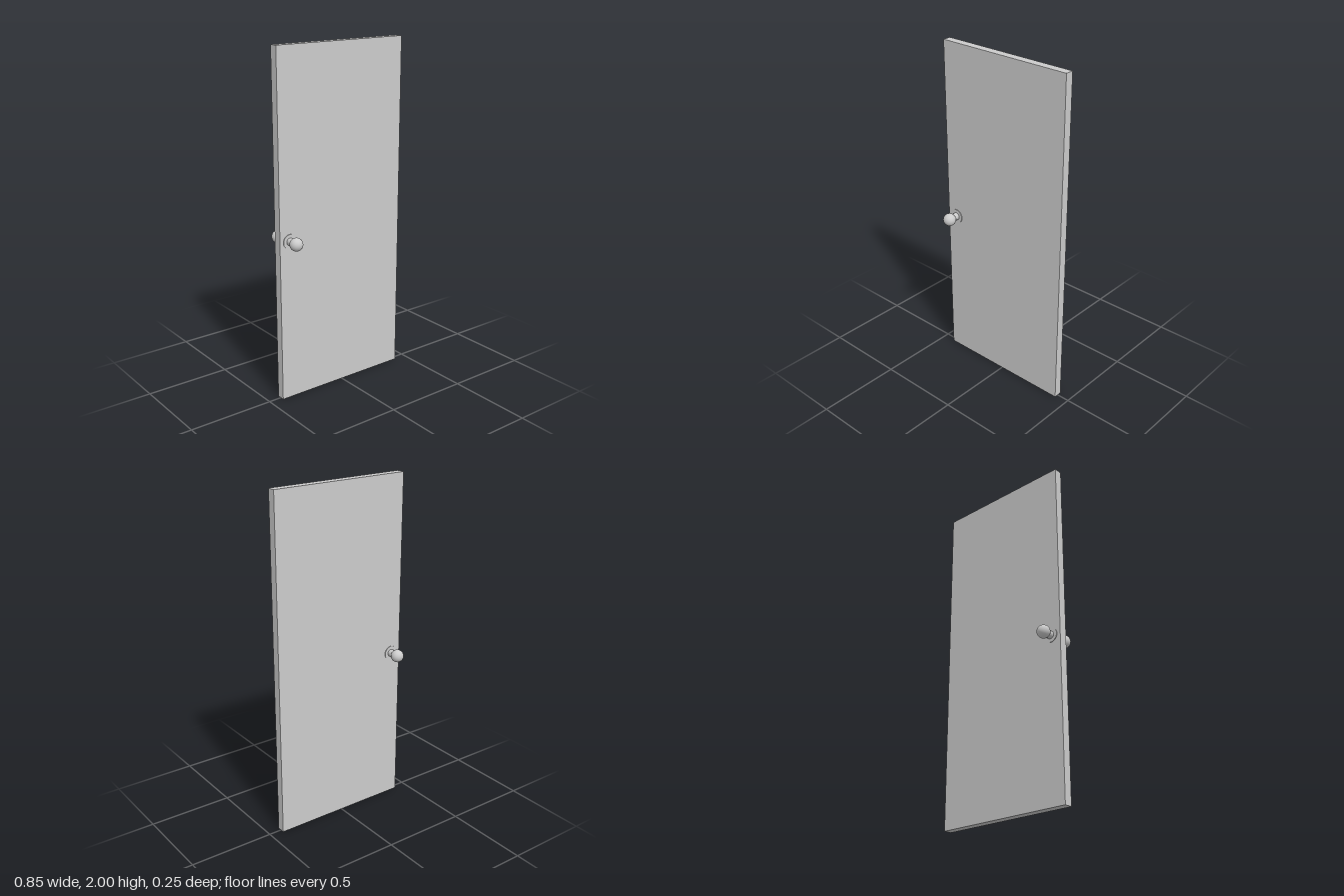
import * as THREE from 'three';

const material = new THREE.MeshStandardMaterial({ color: 0xcccccc });
const DOOR = { width: 0.846, height: 2, depth: 0.049 };
const KNOB = { x: -0.359, y: 0.94 };

function addPart(parent, name, geometry, z = 0) {
  const mesh = new THREE.Mesh(geometry, material);
  mesh.name = name;
  mesh.position.z = z;
  parent.add(mesh);
  return mesh;
}

// Cylinder along z, from z0 to z1
function rod(radius, z0, z1, sides) {
  return new THREE.CylinderGeometry(radius, radius, z1 - z0, sides)
    .rotateX(Math.PI / 2)
    .translate(0, 0, (z0 + z1) / 2);
}

// Handle pointing towards +z, with its origin at the middle of the door
function createHandle(name) {
  const handle = new THREE.Group();
  handle.name = name;
  const face = DOOR.depth / 2;
  addPart(handle, 'rosePlate', rod(0.042, face - 0.004, face + 0.004, 32));
  addPart(handle, 'neck', rod(0.022, face, 0.065, 32));
  addPart(handle, 'knob', new THREE.SphereGeometry(0.0375, 32, 20).rotateX(Math.PI / 2), 0.0873);
  return handle;
}

export function createModel() {
  const model = new THREE.Group();
  model.name = 'door';

  // Plain slab
  const panel = addPart(model, 'doorPanel', new THREE.BoxGeometry(DOOR.width, DOOR.height, DOOR.depth));
  panel.position.y = DOOR.height / 2;

  // One handle on each face
  for (const [name, turn] of [['frontHandle', 0], ['backHandle', Math.PI]]) {
    const handle = createHandle(name);
    handle.position.set(KNOB.x, KNOB.y, 0);
    handle.rotation.y = turn;
    model.add(handle);
  }
  return model;
}
